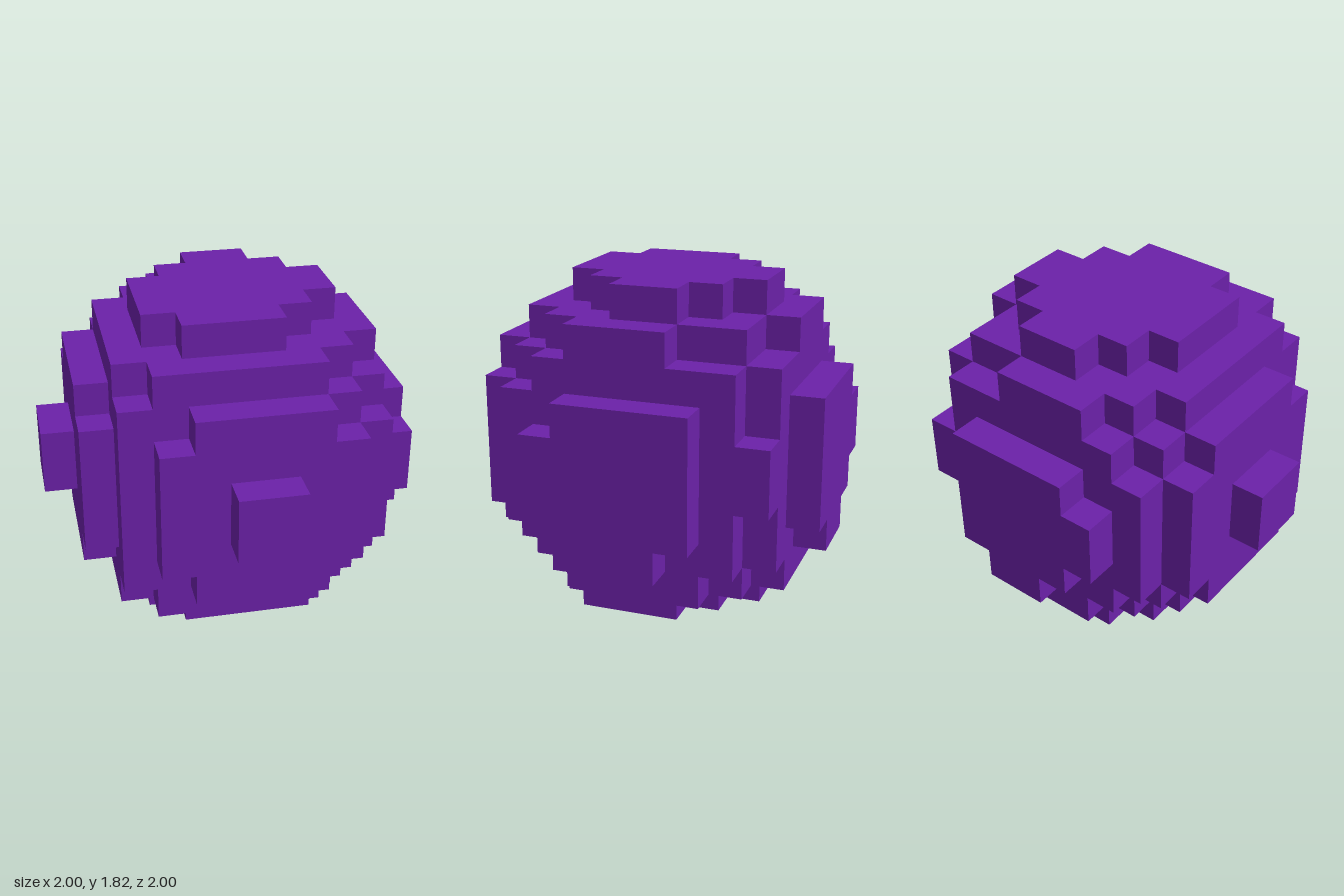
import * as THREE from 'three';
import { mergeGeometries } from 'three/addons/utils/BufferGeometryUtils.js';

const CELL = 2 / 11;
const CENTRE = new THREE.Vector3(-0.22, -0.08, 0.23); // in cells, slightly off the grid centre
const RADIUS_SQ = 28.85;

// A cell is solid when its middle lies inside the sphere
const solid = (p) => p.distanceToSquared(CENTRE) <= RADIUS_SQ + CENTRE.lengthSq();

// One unit square facing along a direction, half a cell out from the middle
function faceTemplate(normal) {
  const turn = new THREE.Quaternion().setFromUnitVectors(new THREE.Vector3(0, 0, 1), normal);
  return new THREE.PlaneGeometry(1, 1).translate(0, 0, 0.5).applyQuaternion(turn);
}

// Outer skin of the blocky sphere: only the exposed cell faces
function blockSphereGeometry() {
  const sides = [[1, 0, 0], [-1, 0, 0], [0, 1, 0], [0, -1, 0], [0, 0, 1], [0, 0, -1]].map((d) => {
    const normal = new THREE.Vector3(...d);
    return { normal, face: faceTemplate(normal) };
  });
  const faces = [];
  for (let x = -6.5; x < 7; x++) {
    for (let y = -6.5; y < 7; y++) {
      for (let z = -6.5; z < 7; z++) {
        const p = new THREE.Vector3(x, y, z);
        if (!solid(p)) continue;
        for (const { normal, face } of sides) {
          if (!solid(p.clone().add(normal))) faces.push(face.clone().translate(x, y, z));
        }
      }
    }
  }
  // Stand on the ground and centre the uneven bumps
  return mergeGeometries(faces).translate(0.5, 5, -0.5).scale(CELL, CELL, CELL);
}

export function createModel() {
  const group = new THREE.Group();
  group.name = 'blockSphere';
  const purple = new THREE.MeshStandardMaterial({ color: 0x6b21a8 });
  purple.name = 'purple';
  const skin = new THREE.Mesh(blockSphereGeometry(), purple);
  skin.name = 'sphereBlocks';
  group.add(skin);
  return group;
}
